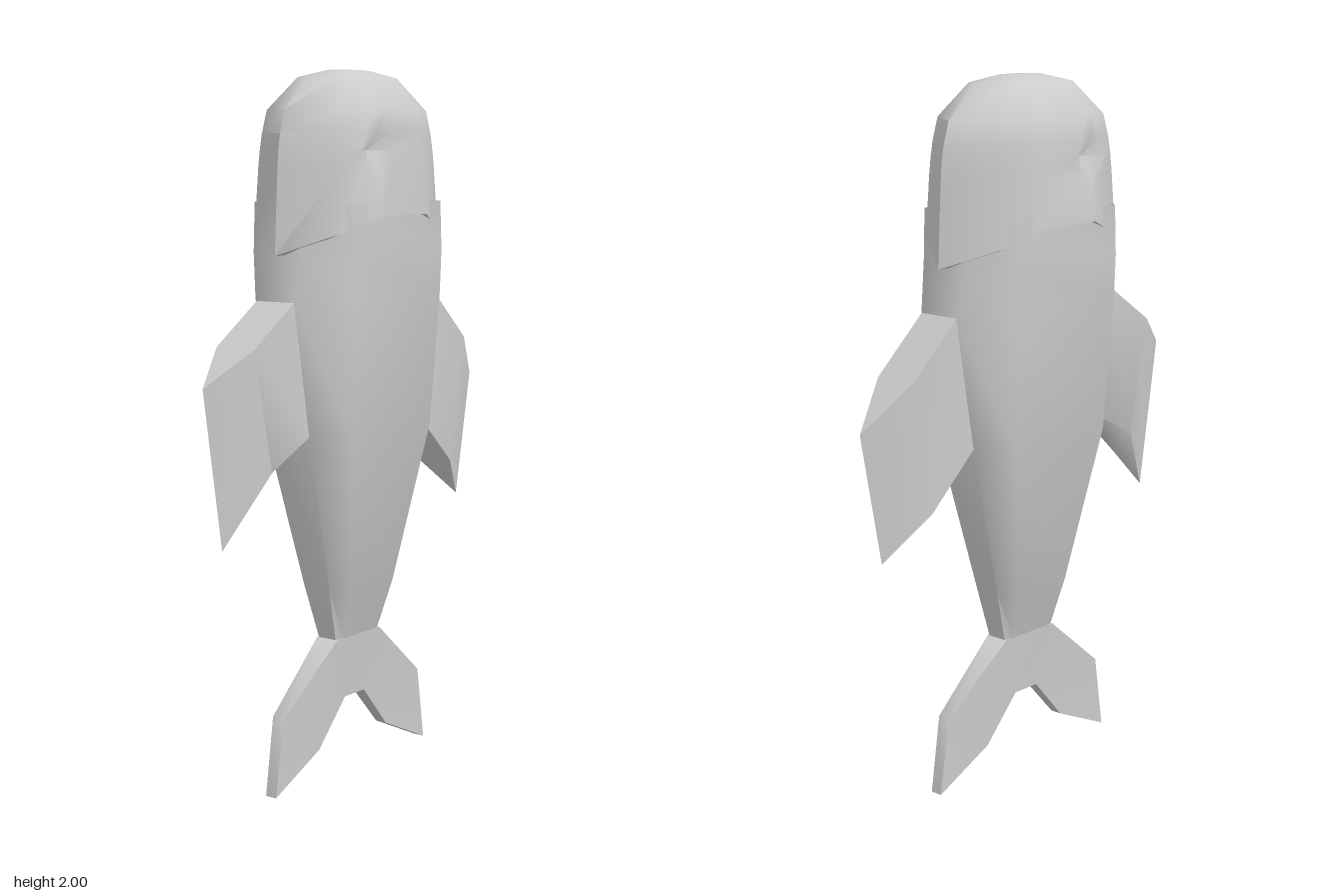
import * as THREE from 'three';
import { toCreasedNormals } from 'three/addons/utils/BufferGeometryUtils.js';

const material = new THREE.MeshStandardMaterial({ color: 0xcccccc, side: THREE.DoubleSide });

// Skin a list of closed rings of [x, y, z] points, facing outwards.
function loft(name, rings, crease = 1.2) {
  const n = rings[0].length;
  const triangles = [];
  const a = new THREE.Vector3(), b = new THREE.Vector3();
  const add = (p, q, r) => {
    const [P, Q, R] = [p, q, r].map((v) => new THREE.Vector3(...v));
    a.subVectors(Q, P);
    b.subVectors(R, P);
    if (a.cross(b).length() > 1e-7) triangles.push([P, Q, R]);
  };
  for (let i = 0; i < rings.length - 1; i++) {
    for (let j = 0; j < n; j++) {
      const k = (j + 1) % n;
      add(rings[i][j], rings[i][k], rings[i + 1][k]);
      add(rings[i][j], rings[i + 1][k], rings[i + 1][j]);
    }
  }
  // Signed volume about the middle tells which way the faces point.
  const middle = new THREE.Vector3();
  rings.flat().forEach((p) => middle.add(a.set(...p)));
  middle.divideScalar(n * rings.length);
  let volume = 0;
  for (const [p, q, r] of triangles) {
    const P = p.clone().sub(middle);
    volume += P.dot(q.clone().sub(middle).cross(r.clone().sub(middle)));
  }
  const points = triangles.flatMap(([p, q, r]) => (volume < 0 ? [p, r, q] : [p, q, r]));
  const geometry = toCreasedNormals(new THREE.BufferGeometry().setFromPoints(points), crease);
  const mesh = new THREE.Mesh(geometry, material);
  mesh.name = name;
  return mesh;
}

// Tapering eight-sided body: height, half width, side half depth, edge half width, edge half depth.
function makeBody() {
  const sections = [
    [1.64, 0.175, 0.2, 0.05, 0.26],
    [1.5, 0.18, 0.2, 0.055, 0.285],
    [1.38, 0.175, 0.2, 0.065, 0.325],
    [1.0, 0.153, 0.185, 0.065, 0.26],
    [0.55, 0.085, 0.1, 0.04, 0.14],
    [0.4, 0.036, 0.07, 0.03, 0.1],
  ];
  return loft('body', sections.map(([y, w, d, ew, ed]) => [
    [ew, y, ed], [w, y, d], [w, y, -d], [ew, y, -ed],
    [-ew, y, -ed], [-w, y, -d], [-w, y, d], [-ew, y, ed],
  ]));
}

// Hood-like head with a sunken eye on each side.
function makeHead() {
  const outline = [[0, 1], [0.79, 0.71], [0.94, 0.45], [1, 0.3], [1, 0.15], [1, -0.34], [0.79, -0.68], [0, -1]];
  const rimDrop = [0.105, 0.045, 0.02, 0, 0, 0, 0.045, 0.105];
  const rows = [
    [1.605, 0.15, 0.26], [1.605, 0.19, 0.325],
    [1.734, 0.181, 0.312], [1.78, 0.177, 0.308], [1.826, 0.173, 0.3],
    [1.89, 0.165, 0.28], [1.98, 0.095, 0.185], [2, 0.04, 0.08], [2, 0, 0],
  ];
  const rings = rows.map(([y, w, d], row) => {
    const half = outline.map(([u, v], col) => {
      const p = [u * w, y - (row < 2 ? rimDrop[col] : 0), v * d];
      // Pull the three-by-three block around the eye into an octagon with a sunken centre.
      const dy = row - 3, dz = 3 - col;
      if (Math.abs(dy) <= 1 && Math.abs(dz) <= 1) {
        const reach = dy && dz ? 0.046 : 0.065;
        p[1] = 1.78 + dy * reach;
        p[2] = 0.095 + dz * reach;
        if (!dy && !dz) p[0] -= 0.045;
      }
      return p;
    });
    const mirrored = half.slice(1, -1).reverse().map(([x, py, z]) => [-x, py, z]);
    return [...half, ...mirrored];
  });
  return loft('head', rings, 1.1);
}

// Thick side fin narrowing to a sharp outer edge; side is the sign of z.
function makeFin(name, side, outerTop, midTop, midLow) {
  const t = 0.065;
  const ring = (w, top, low, lowCentre) => [
    [w, ...top], [0, ...top], [-w, ...top], [-w, ...low], [0, ...lowCentre], [w, ...low],
  ].map(([x, y, z]) => [x, y, z * side]);
  return loft(name, [
    ring(t, [1.38, 0.32], [1.01, 0.255], [1.01, 0.255]),
    ring(t, [midTop, 0.49], [midLow, 0.42], [0.857, 0.42]),
    ring(0, [outerTop, 0.62], [0.73, 0.55], [0.73, 0.55]),
  ], 1.0);
}

// Forked tail, swept from one tip across to the other.
function makeTail() {
  // upper z, y, half thickness, then lower z, y, half thickness
  const half = [
    [0.355, 0, 0.018, 0.355, 0, 0.018],
    [0.32, 0.22, 0.02, 0.16, 0.09, 0.018],
    [0.1, 0.4, 0.036, 0.045, 0.22, 0.022],
  ];
  const ring = ([z1, y1, w1, z2, y2, w2], s) => [
    [w1, y1, z1 * s], [-w1, y1, z1 * s], [-w2, y2, z2 * s], [w2, y2, z2 * s],
  ];
  return loft('tail', [
    ...half.map((h) => ring(h, 1)),
    ...half.slice().reverse().map((h) => ring(h, -1)),
  ], 1.0);
}

export function createModel() {
  const model = new THREE.Group();
  model.name = 'upright whale';
  model.add(
    makeBody(),
    makeHead(),
    makeFin('frontFin', 1, 1.17, 1.265, 0.93),
    makeFin('backFin', -1, 1.1, 1.225, 0.857),
    makeTail(),
  );
  return model;
}
